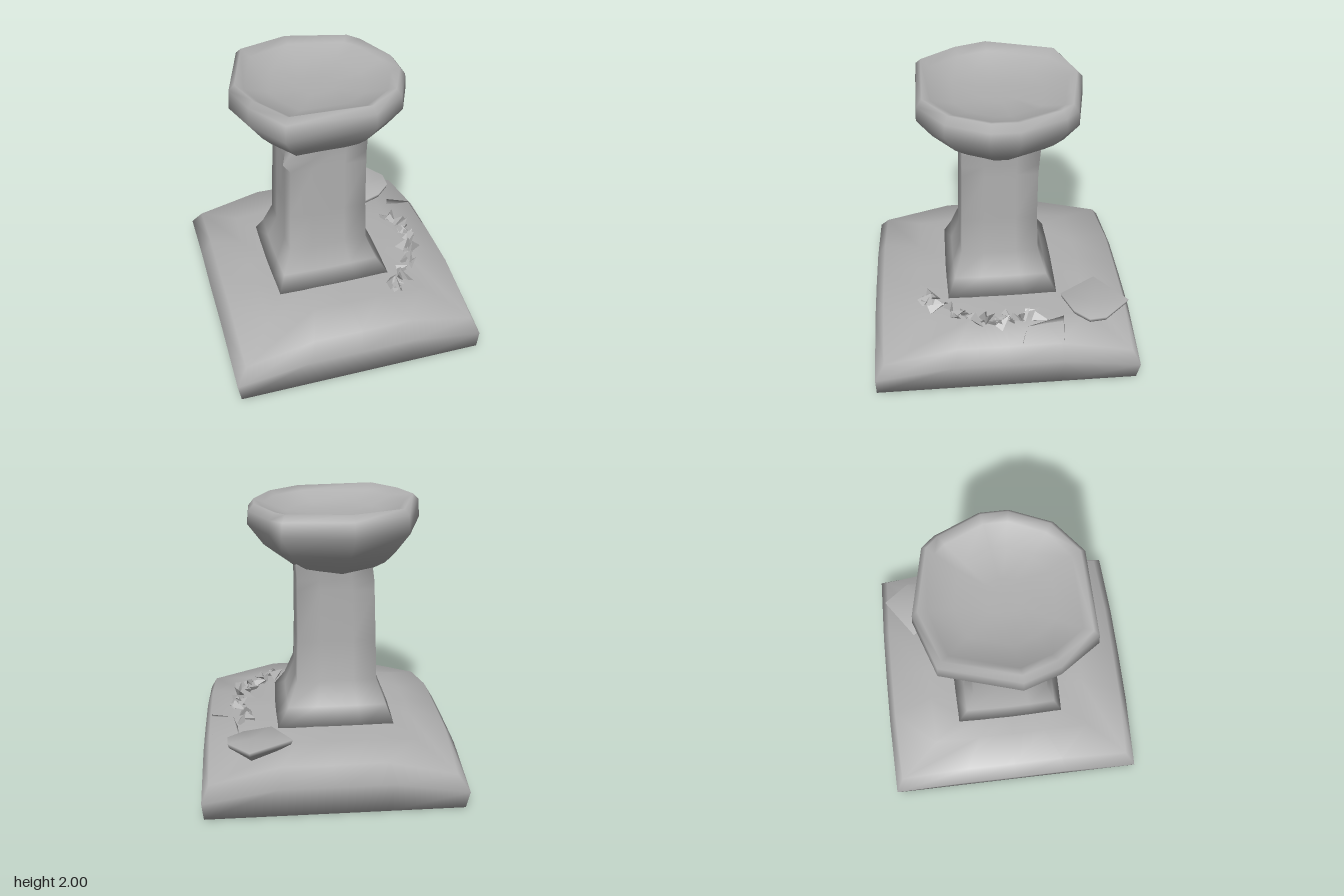
import * as THREE from 'three';

// Skin a stack of rings (same point count, bottom to top) and cap both ends.
function loft(rings) {
  const n = rings[0].length, pos = [], idx = [];
  rings.forEach(r => r.forEach(p => pos.push(...p)));
  for (let i = 0; i < rings.length - 1; i++) {
    for (let k = 0; k < n; k++) {
      const a = i * n + k, b = i * n + (k + 1) % n;
      idx.push(a, a + n, b, b, a + n, b + n);
    }
  }
  const cap = (ring, start, up) => {
    const c = pos.length / 3;
    pos.push(...[0, 1, 2].map(j => ring.reduce((s, p) => s + p[j], 0) / n));
    for (let k = 0; k < n; k++) {
      const a = start + k, b = start + (k + 1) % n;
      idx.push(c, up ? b : a, up ? a : b);
    }
  };
  cap(rings[0], 0, false);
  cap(rings[rings.length - 1], (rings.length - 1) * n, true);
  const g = new THREE.BufferGeometry();
  g.setAttribute('position', new THREE.Float32BufferAttribute(pos, 3));
  g.setIndex(idx);
  g.computeVertexNormals();
  return g;
}

// Squarish ring of 16 points; drop lowers the four corners, q is squareness.
function squareRing(y, x0, x1, z0, z1, q = 1, drop = 0) {
  return Array.from({ length: 16 }, (_, k) => {
    const a = k * Math.PI / 8, c = Math.cos(a), s = Math.sin(a);
    const r = 1 - q + q / Math.max(Math.abs(c), Math.abs(s));
    return [(x0 + x1) / 2 + c * r * (x1 - x0) / 2, y - (k % 4 === 2 ? drop : 0),
      (z0 + z1) / 2 + s * r * (z1 - z0) / 2];
  });
}

export function createModel() {
  const group = new THREE.Group();
  const stone = new THREE.MeshStandardMaterial({ color: 0xb0b0b0 });
  stone.name = 'stone grey';
  const add = (name, geometry, parent = group) => {
    const m = new THREE.Mesh(geometry, stone);
    m.name = name;
    parent.add(m);
    return m;
  };

  // Worn square base with drooping corners
  add('base', loft([
    squareRing(0.01, -0.7, 0.7, -0.75, 0.75),
    squareRing(0, -0.9, 0.9, -0.94, 0.96),
    squareRing(0.22, -0.93, 0.92, -0.97, 0.97, 0.97, 0.09),
    squareRing(0.36, -0.85, 0.87, -0.91, 0.9, 0.97, 0.12),
    squareRing(0.385, -0.62, 0.6, -0.62, 0.62, 0.9, 0.02),
    squareRing(0.4, -0.46, 0.36, -0.38, 0.38, 0.9),
  ]));

  // Square column with a flared foot and a chipped corner near the top
  const neck = squareRing(1.46, -0.33, 0.22, -0.27, 0.28, 0.95);
  neck[6] = [-0.39, 1.47, 0.3];
  add('column', loft([
    squareRing(0.37, -0.49, 0.4, -0.43, 0.43, 0.92),
    squareRing(0.52, -0.43, 0.3, -0.34, 0.36, 0.92),
    squareRing(0.7, -0.36, 0.23, -0.28, 0.3, 0.94),
    squareRing(1.0, -0.35, 0.22, -0.265, 0.29, 0.95),
    squareRing(1.38, -0.335, 0.22, -0.265, 0.28, 0.95),
    neck,
    squareRing(1.56, -0.32, 0.23, -0.28, 0.28, 0.9),
    squareRing(1.68, -0.34, 0.24, -0.3, 0.3, 0.8),
  ]));

  // Shallow irregular bowl
  const outline = [[0.55, 0.1], [0.42, 0.39], [0.18, 0.57], [-0.43, 0.57], [-0.61, 0.3], [-0.69, 0.05],
    [-0.53, -0.48], [-0.15, -0.61], [0.33, -0.51], [0.41, -0.42], [0.55, -0.1]];
  const cx = -0.06;
  const bowlRing = (y, s, tilt = 0) => outline.map(([x, z]) =>
    [cx + (x - cx) * s, y - tilt * (x - cx), z * s]);
  add('bowl', loft([
    bowlRing(1.5, 0.44),
    bowlRing(1.61, 0.7, -0.02),
    bowlRing(1.68, 0.82),
    bowlRing(1.83, 1),
    bowlRing(1.94, 0.985, 0.03),
    bowlRing(1.985, 0.92, 0.02),
    bowlRing(1.95, 0.82),
    bowlRing(1.89, 0.55),
    bowlRing(1.88, 0.2),
  ]));

  // Broken slab lying on the back corner of the base
  const slab = [[0.73, -0.6], [0.62, -0.5], [0.42, -0.43], [0.28, -0.7], [0.58, -0.91], [0.73, -0.72]];
  const slabRing = (y, s, rise) => slab.map(([x, z]) =>
    [0.55 + (x - 0.55) * s, y - rise * (z + 0.65), -0.65 + (z + 0.65) * s]);
  add('brokenSlab', loft([slabRing(0.36, 0.6, 0), slabRing(0.41, 0.95, 0.1), slabRing(0.445, 1, 0.1)]));

  // Thin flake along the side edge
  const flake = [[0.66, -0.42], [0.85, -0.4], [0.86, -0.1], [0.7, -0.15]].reverse();
  add('flake', loft([flake.map(([x, z]) => [x, 0.36, z]),
    flake.map(([x, z]) => [x, 0.375 + (x < 0.7 ? 0.05 : 0), z])]));

  // Scattered shards in an arc around the foot
  let seed = 7;
  const rand = () => (seed = (seed * 16807) % 2147483647) / 2147483647;
  const arc = new THREE.CatmullRomCurve3([[0.33, 0.6], [0.5, 0.42], [0.62, 0.2], [0.64, 0], [0.58, -0.25]]
    .map(([x, z]) => new THREE.Vector3(x, 0.41, z)));
  const shards = new THREE.Group();
  shards.name = 'shards';
  group.add(shards);
  const count = 30;
  for (let i = 0; i < count; i++) {
    const m = add('shard', new THREE.TetrahedronGeometry(0.06 + 0.05 * rand()), shards);
    m.position.copy(arc.getPoint(i / (count - 1)));
    m.position.x += (rand() - 0.5) * 0.12;
    m.position.y += (rand() - 0.4) * 0.05;
    m.scale.set(1, 0.3 + 0.3 * rand(), 0.4);
    m.rotation.set((rand() - 0.5) * 1.2, rand() * 6.28, (rand() - 0.5) * 1.2);
  }
  return group;
}
